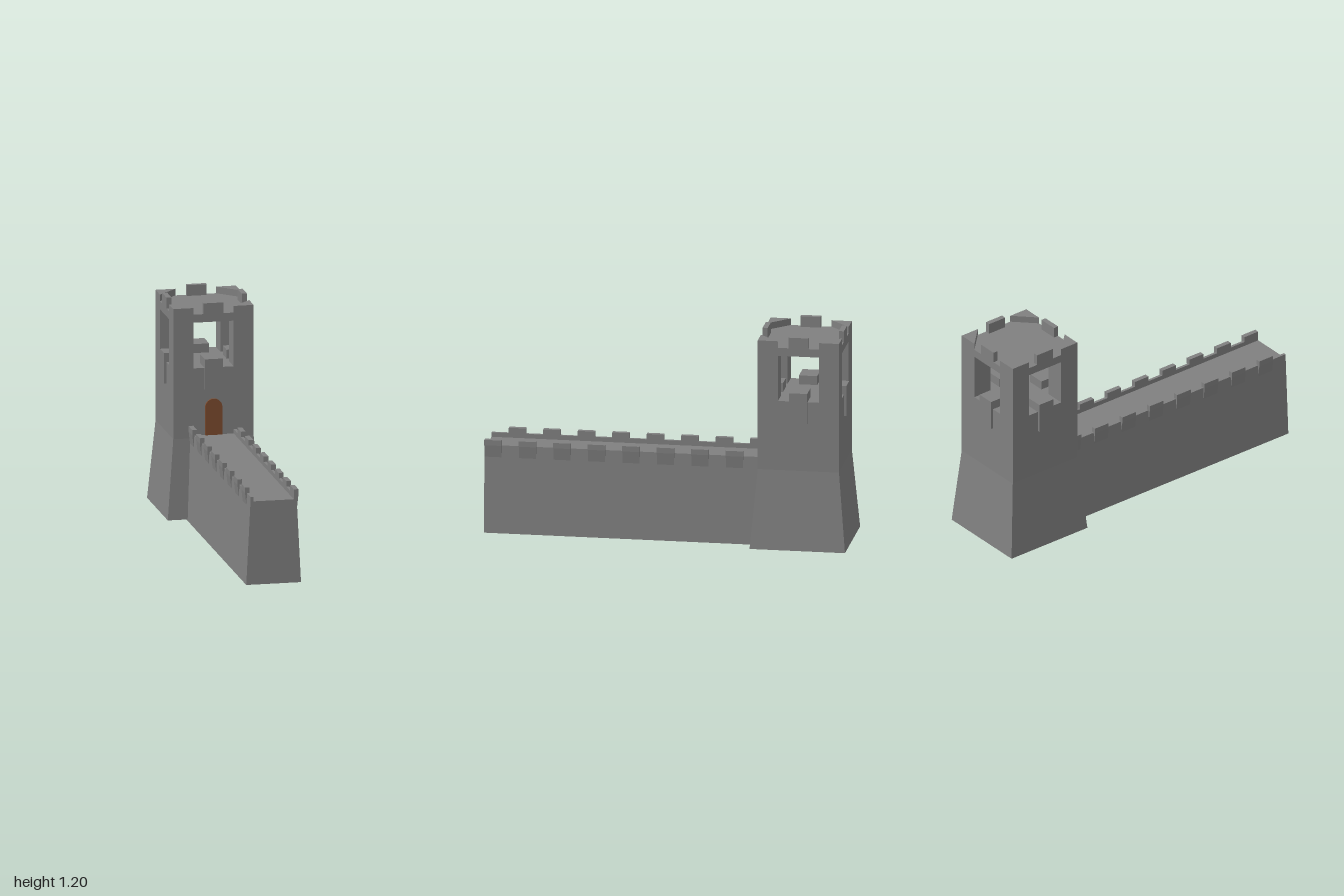
import * as THREE from 'three';

const stone = new THREE.MeshStandardMaterial({ color: 0x808080, flatShading: true });
const wood = new THREE.MeshStandardMaterial({ color: 0x7d4b2e, flatShading: true });

function add(parent, name, geometry, material = stone) {
  const mesh = new THREE.Mesh(geometry, material);
  mesh.name = name;
  parent.add(mesh);
  return mesh;
}

// Box given by its lower and upper corners
function box(parent, name, [x0, y0, z0], [x1, y1, z1]) {
  const mesh = add(parent, name, new THREE.BoxGeometry(x1 - x0, y1 - y0, z1 - z0));
  mesh.position.set((x0 + x1) / 2, (y0 + y1) / 2, (z0 + z1) / 2);
  return mesh;
}

// Cross-section in x/y pulled along z from z0 to z1
function prism(parent, name, points, z0, z1) {
  const shape = new THREE.Shape(points.map(([x, y]) => new THREE.Vector2(x, y)));
  const mesh = add(parent, name, new THREE.ExtrudeGeometry(shape, { depth: z1 - z0, bevelEnabled: false }));
  mesh.position.z = z0;
  return mesh;
}

function createTower() {
  const tower = new THREE.Group();
  tower.name = 'tower';
  const R = 0.223; // half width of the shaft
  const W = 0.112; // half width of the openings
  const foot = 0.008, baseTop = 0.45, sill = 0.84, lintel = 1.095, ceiling = 1.13, deck = 1.14;

  // Battered base: a square frustum
  const base = new THREE.CylinderGeometry(R * Math.SQRT2, 0.262 * Math.SQRT2, baseTop - foot, 4);
  base.rotateY(Math.PI / 4);
  add(tower, 'towerBase', base).position.y = (baseTop + foot) / 2;

  box(tower, 'towerShaft', [-R, baseTop, -R], [R, sill, R]);
  box(tower, 'roofDeck', [-R, ceiling, -R], [R, deck, R]);

  for (let i = 0; i < 4; i++) {
    const side = new THREE.Group();
    side.name = 'towerSide';
    side.rotation.y = i * Math.PI / 2;
    tower.add(side);
    box(side, 'cornerPillar', [W, sill, W], [R, ceiling, R]);
    box(side, 'lintel', [-W, lintel, W], [W, ceiling, R]);
    box(side, 'sillBlock', [-0.05, 0.72, W], [0.05, 0.89, 0.236]);
    box(side, 'roofMerlon', [-0.055, deck, 0.195], [0.055, 1.2, R]);
    // Triangular block on each roof corner
    const corner = prism(side, 'cornerMerlon', [[R, -R], [R, -W], [W, -R]], 0, 0.037);
    corner.rotation.x = -Math.PI / 2;
    corner.position.y = deck;
  }
  tower.position.z = -0.738;
  return tower;
}

function createWall() {
  const wall = new THREE.Group();
  wall.name = 'wall';
  const end = -0.515;

  // Sloped wall with a sunken walkway between two low parapets
  prism(wall, 'wallBody', [
    [-0.152, 0], [0.152, 0], [0.127, 0.49], [0.112, 0.49],
    [0.112, 0.465], [-0.112, 0.465], [-0.112, 0.49], [-0.127, 0.49],
  ], end, 1);

  // Flared merlons, staggered between the two sides
  const step = (1 - end) / 16;
  for (let i = 0; i < 16; i++) {
    const s = i % 2 ? -1 : 1;
    const section = [[0.112, 0.465], [0.13, 0.42], [0.138, 0.49], [0.138, 0.52], [0.112, 0.52]];
    prism(wall, 'wallMerlon', section.map(([x, y]) => [s * x, y]), 1 - (i + 1) * step, 1 - i * step);
  }
  return wall;
}

function createDoor() {
  const r = 0.047, spring = 0.62;
  const shape = new THREE.Shape();
  shape.moveTo(-r, 0.465);
  shape.lineTo(r, 0.465);
  shape.lineTo(r, spring);
  shape.absarc(0, spring, r, 0, Math.PI, false);
  const door = new THREE.Mesh(
    new THREE.ExtrudeGeometry(shape, { depth: 0.017, bevelEnabled: false, curveSegments: 12 }), wood);
  door.name = 'door';
  door.position.z = -0.521;
  return door;
}

export function createModel() {
  const model = new THREE.Group();
  model.name = 'castleWallWithTower';
  model.add(createTower(), createWall(), createDoor());
  return model;
}
